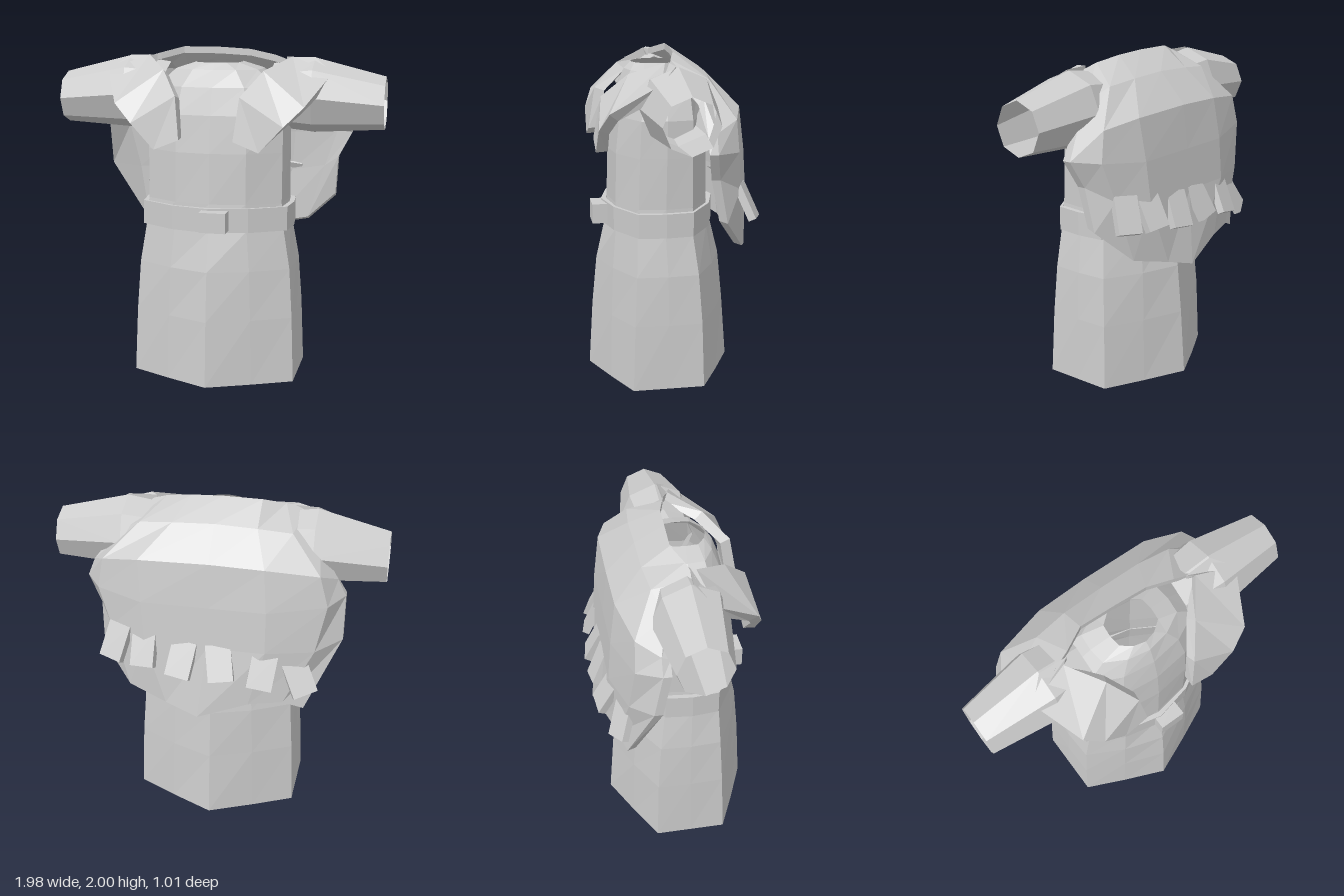
import * as THREE from 'three';

const cloth = new THREE.MeshStandardMaterial({ color: 0xcccccc, flatShading: true, side: THREE.DoubleSide });
cloth.name = 'paleGreyCloth';

// Skin a list of closed rings (each an array of [x, y, z]); optional end caps.
function loft(rings, caps = false) {
  const pos = [];
  const quad = (a, b, c, d) => pos.push(...a, ...b, ...c, ...a, ...c, ...d);
  const n = rings[0].length;
  for (let k = 0; k < rings.length - 1; k++) {
    for (let i = 0; i < n; i++) {
      const j = (i + 1) % n;
      quad(rings[k][i], rings[k][j], rings[k + 1][j], rings[k + 1][i]);
    }
  }
  if (caps) {
    const first = rings[0], last = rings[rings.length - 1];
    for (let i = 0; i < n / 2 - 1; i++) {
      quad(first[i], first[n - 1 - i], first[n - 2 - i], first[i + 1]);
      quad(last[i], last[i + 1], last[n - 2 - i], last[n - 1 - i]);
    }
  }
  const g = new THREE.BufferGeometry();
  g.setAttribute('position', new THREE.Float32BufferAttribute(pos, 3));
  g.computeVertexNormals();
  return g;
}

// Thick sheet: each row of points is paired with the same row shifted by its offset.
function slab(rows, offsets) {
  return loft(rows.map((row, k) => [
    ...row,
    ...row.map(p => p.map((v, a) => v + offsets[k][a])).reverse(),
  ]), true);
}

// Twelve-point body ring: a hexagon whose side midpoints bulge by b.
function bodyRing([y, x, front, sideF, sideB, back, b], grow = 0) {
  const f = front + grow, r = back - grow, w = x + grow;
  const half = [
    [0, f], [w * 0.52, (f + sideF) / 2 + b], [w, sideF],
    [w + b * 0.5, (sideF + sideB) / 2],
    [w, sideB], [w * 0.52, (r + sideB) / 2 - b], [0, r],
  ];
  const other = half.slice(1, 6).reverse().map(([px, pz]) => [-px, pz]);
  return [...half, ...other].map(([px, pz]) => [px, y, pz]);
}

export function createModel() {
  const model = new THREE.Group();
  model.name = 'tunic';
  const add = (name, geometry, parent = model) => {
    const mesh = new THREE.Mesh(geometry, cloth);
    mesh.name = name;
    parent.add(mesh);
    return mesh;
  };

  // Tunic body from the hem up to the open neck
  add('tunicBody', loft([
    [0.0, 0.5, 0.49, 0.27, -0.16, -0.4, 0],
    [0.4, 0.485, 0.465, 0.255, -0.15, -0.37, 0.01],
    [0.7, 0.465, 0.435, 0.24, -0.13, -0.34, 0.02],
    [0.94, 0.425, 0.38, 0.23, -0.1, -0.28, 0.03],
    [1.1, 0.41, 0.365, 0.22, -0.1, -0.25, 0.04],
    [1.4, 0.41, 0.355, 0.21, -0.1, -0.24, 0.045],
    [1.62, 0.41, 0.33, 0.2, -0.1, -0.22, 0.04],
    [1.78, 0.36, 0.29, 0.18, -0.09, -0.19, 0.03],
    [1.88, 0.25, 0.25, 0.16, -0.04, -0.12, 0.02],
    [1.92, 0.13, 0.21, 0.145, 0, -0.07, 0.015],
  ].map(r => bodyRing(r))));

  // Belt band and buckle
  const belt = [[0.935, 0], [0.935, 0.03], [1.08, 0.03], [1.08, 0]];
  add('belt', loft(belt.map(([y, grow]) =>
    bodyRing([y, 0.415, 0.37, 0.225, -0.1, -0.265, 0.035], grow))));
  add('buckle', new THREE.BoxGeometry(0.16, 0.12, 0.1)).position.set(0.04, 1.01, 0.415);

  // Open octagonal sleeves
  const sleeve = loft([[0.32, 1.72, 0.19], [0.57, 1.725, 0.222], [0.99, 1.685, 0.157]].map(([x, y, r]) =>
    Array.from({ length: 8 }, (_, i) => {
      const a = i * Math.PI / 4;
      return [x, y + r * Math.cos(a), 0.016 + r * Math.sin(a)];
    })));

  // Thick flaps hanging from the shoulders over the chest
  const flap = slab([
    [[-0.40, 1.95, 0.04], [-0.57, 1.95, 0.03]],
    [[-0.44, 1.955, 0.07], [-0.685, 1.865, 0.13]],
    [[-0.30, 1.88, 0.26], [-0.56, 1.69, 0.40]],
    [[-0.19, 1.74, 0.41], [-0.45, 1.58, 0.45]],
    [[-0.16, 1.49, 0.455], [-0.31, 1.43, 0.455]],
  ], [[0, -0.05, 0], [0.01, -0.06, -0.02], [0.02, -0.04, -0.05], [0.01, -0.02, -0.06], [0, 0.005, -0.07]]);

  for (const [side, s] of [['left', 1], ['right', -1]]) {
    add(side + 'Sleeve', sleeve).scale.x = s;
    add(side + 'ShoulderFlap', flap).scale.x = -s;
  }

  // Hide cape over the shoulders and back, with a ragged lower edge
  add('cape', slab([
    [[-0.5, 1.93, 0.06], [-0.38, 1.965, 0.02], [-0.25, 2, -0.04], [-0.02, 2, -0.03],
      [0.17, 1.99, -0.02], [0.33, 1.96, 0.02], [0.42, 1.93, 0.04]],
    [[-0.6, 1.78, -0.12], [-0.45, 1.86, -0.18], [-0.25, 1.88, -0.2], [0, 1.89, -0.2],
      [0.25, 1.88, -0.2], [0.45, 1.86, -0.18], [0.6, 1.78, -0.12]],
    [[-0.72, 1.6, -0.17], [-0.63, 1.66, -0.3], [-0.32, 1.7, -0.365], [0, 1.71, -0.37],
      [0.42, 1.7, -0.365], [0.65, 1.66, -0.3], [0.74, 1.6, -0.17]],
    [[-0.77, 1.5, -0.17], [-0.68, 1.48, -0.31], [-0.34, 1.45, -0.4], [0, 1.45, -0.4],
      [0.4, 1.45, -0.4], [0.68, 1.48, -0.31], [0.785, 1.49, -0.17]],
    [[-0.77, 1.24, -0.22], [-0.62, 1.2, -0.34], [-0.34, 1.2, -0.42], [0, 1.2, -0.42],
      [0.38, 1.2, -0.42], [0.6, 1.25, -0.34], [0.7, 1.33, -0.2]],
    [[-0.57, 0.82, -0.35], [-0.45, 0.87, -0.39], [-0.25, 0.86, -0.44], [0.05, 0.76, -0.485],
      [0.25, 0.82, -0.45], [0.49, 0.88, -0.38], [0.68, 1.07, -0.25]],
  ], [[0, -0.04, 0], [0, -0.04, 0.03], [0, -0.02, 0.05], [0, 0, 0.05], [0, 0, 0.05], [0, 0.02, 0.05]]));

  // Row of tilted tags across the back of the cape
  const tags = new THREE.Group();
  tags.name = 'capeTags';
  model.add(tags);
  [
    [0.56, 1.17, -0.385, 0.1], [0.38, 1.16, -0.42, -0.1], [0.15, 1.12, -0.44, 0.12],
    [-0.08, 1.12, -0.44, -0.15], [-0.33, 1.09, -0.43, 0.2], [-0.54, 1.04, -0.37, -0.3],
  ].forEach(([x, y, z, roll], i) => {
    const tag = add('capeTag' + (i + 1), new THREE.BoxGeometry(0.15, 0.22, 0.045), tags);
    tag.position.set(x, y, z);
    tag.rotation.set(0.45, -0.6 * x, roll, 'YXZ');
  });

  return model;
}
